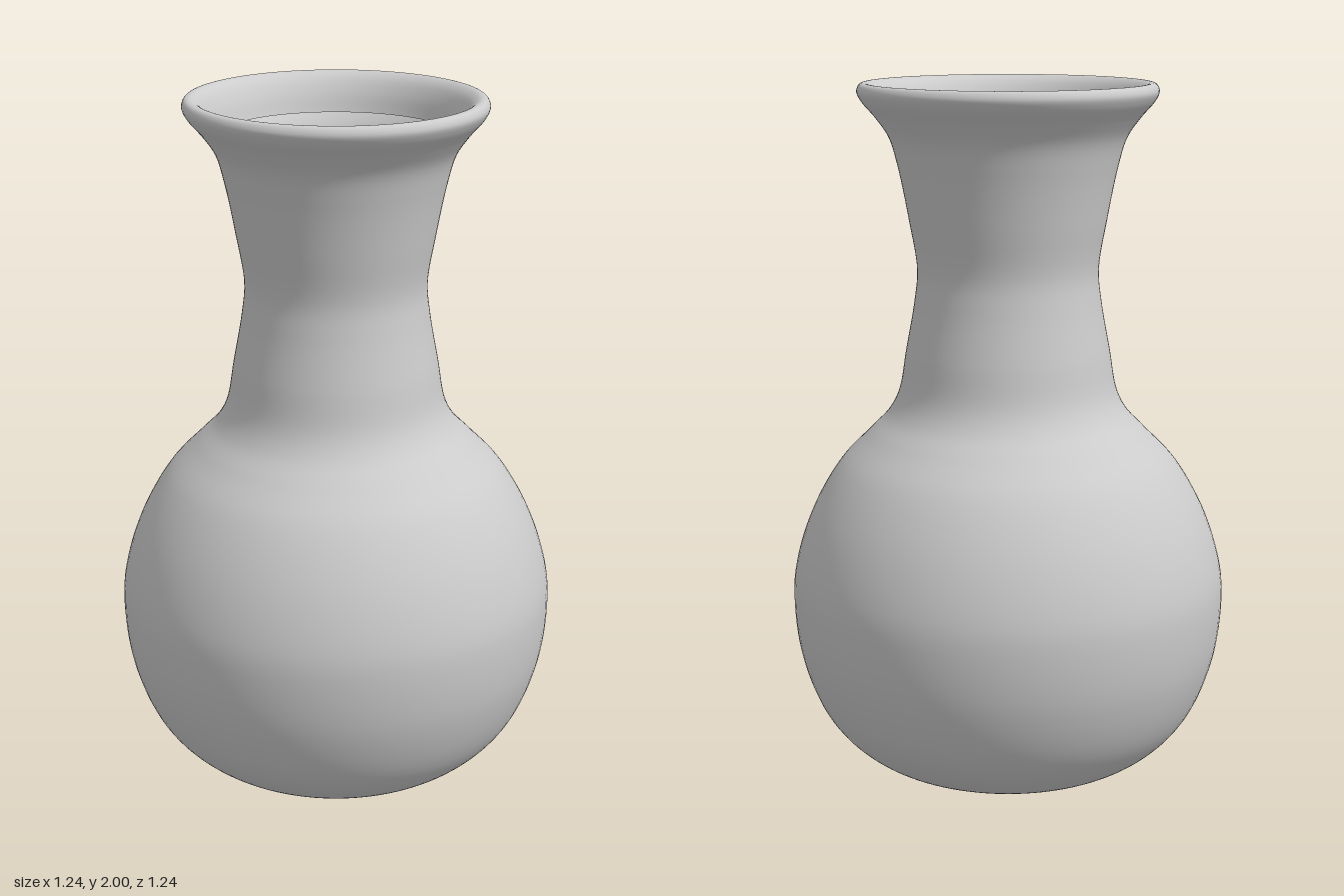
import * as THREE from 'three';

// Smooth [radius, height] profile through a few control points
function profile(points, samples) {
  const curve = new THREE.CatmullRomCurve3(points.map(([r, y]) => new THREE.Vector3(r, y, 0)));
  return curve.getPoints(samples).map(p => new THREE.Vector2(Math.max(p.x, 0), Math.max(p.y, 0)));
}

export function createModel() {
  const group = new THREE.Group();
  group.name = 'vase';
  const material = new THREE.MeshStandardMaterial({ color: 0xcccccc, side: THREE.DoubleSide });

  // Thin-walled shell, from the middle of the base up to the lip
  const shell = [
    // base and round belly
    [0, 0], [0.1, 0], [0.195, 0.003], [0.355, 0.04], [0.46, 0.105], [0.54, 0.2],
    [0.602, 0.36], [0.622, 0.53], [0.613, 0.63], [0.565, 0.78], [0.485, 0.92],
    // shoulder and waisted neck
    [0.4, 1.01], [0.343, 1.07], [0.312, 1.13], [0.29, 1.25], [0.265, 1.39],
    [0.257, 1.48], [0.279, 1.62], [0.309, 1.77], [0.333, 1.85],
    // flared mouth, rolled over and turned down inside
    [0.37, 1.905], [0.41, 1.952], [0.421, 1.978], [0.412, 1.997], [0.395, 2],
    [0.372, 1.985], [0.349, 1.945], [0.333, 1.89],
  ];
  const vase = new THREE.Mesh(new THREE.LatheGeometry(profile(shell, 216), 96), material);
  vase.name = 'vaseShell';
  group.add(vase);
  return group;
}
